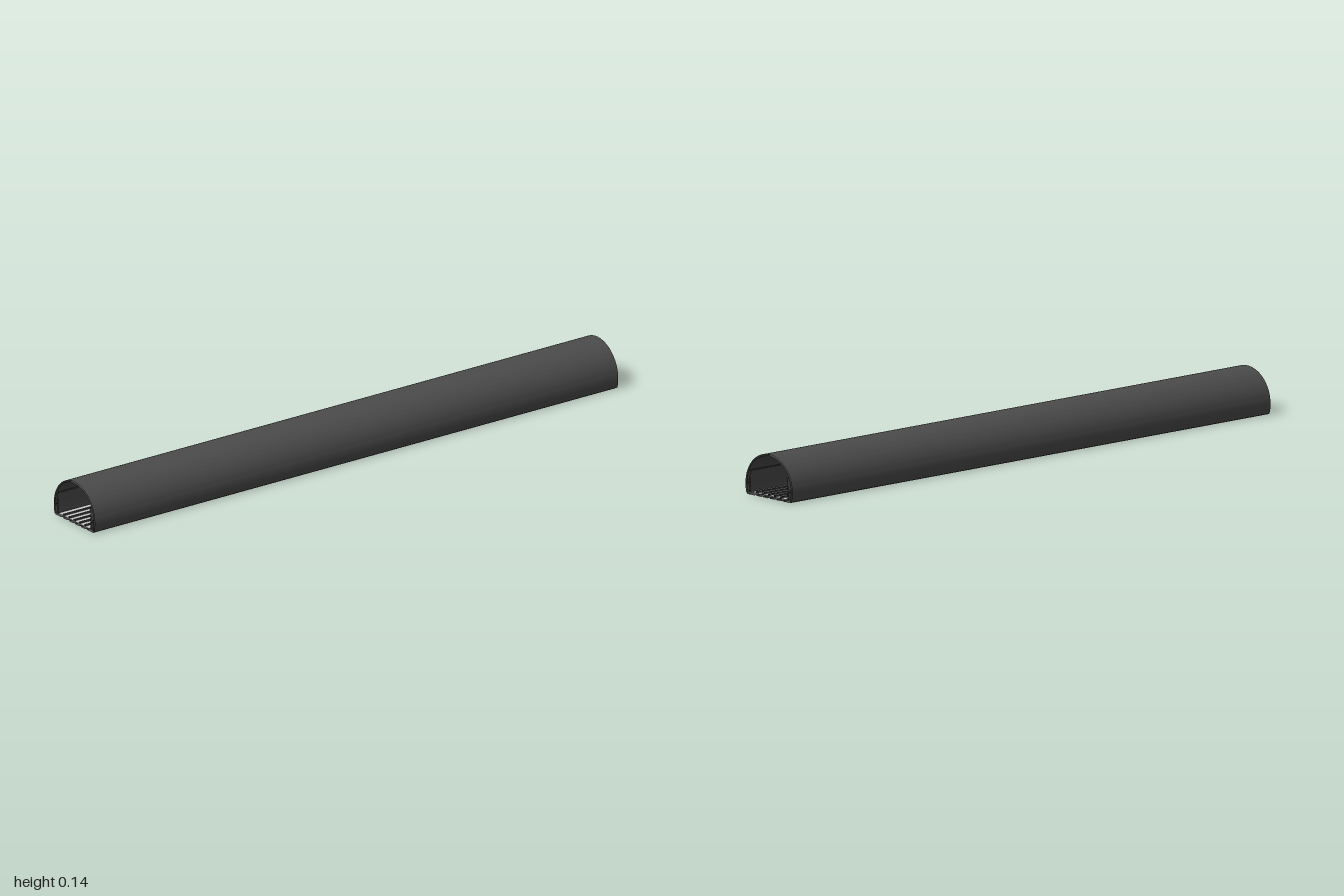
import * as THREE from 'three';
import { toCreasedNormals } from 'three/addons/utils/BufferGeometryUtils.js';

const LENGTH = 2;
const dark = new THREE.MeshStandardMaterial({ color: 0x4c4c4c, side: THREE.DoubleSide });
const light = new THREE.MeshStandardMaterial({ color: 0xcccccc, side: THREE.DoubleSide });

// Open-ended extrusion of a closed counter-clockwise outline along z
function extrusion(name, outline, material) {
  const pos = [];
  const h = LENGTH / 2;
  outline.forEach(([x0, y0], i) => {
    const [x1, y1] = outline[(i + 1) % outline.length];
    pos.push(x0, y0, h, x0, y0, -h, x1, y1, -h, x0, y0, h, x1, y1, -h, x1, y1, h);
  });
  const geometry = new THREE.BufferGeometry();
  geometry.setAttribute('position', new THREE.Float32BufferAttribute(pos, 3));
  const mesh = new THREE.Mesh(toCreasedNormals(geometry, 0.6), material);
  mesh.name = name;
  return mesh;
}

// Mirror an outline across x = 0, keeping its winding
const mirror = (outline) => outline.map(([x, y]) => [-x, y]).reverse();

// Arc points around the centre of the cover
const CENTRE_Y = 0.033;
function arc(radius, from, to, steps = 48) {
  return Array.from({ length: steps + 1 }, (_, i) => {
    const a = from + (to - from) * i / steps;
    return [radius * Math.cos(a), CENTRE_Y + radius * Math.sin(a)];
  });
}

export function createModel() {
  const model = new THREE.Group();
  model.name = 'roundedChannel';

  // Arched cover, a thin shell a little more than half a circle
  const start = -0.29;
  const end = Math.PI - start;
  model.add(extrusion('cover', [...arc(0.105, start, end), ...arc(0.0995, end, start)], dark));

  // Base plate: shallow grooves below, raised ribs above
  const grooves = [-0.06, -0.03, 0, 0.03, 0.06];
  const bottom = [[-0.1, 0.004], [-0.096, 0]];
  grooves.forEach((x) => bottom.push(
    [x - 0.005, 0], [x - 0.004, 0.002], [x + 0.004, 0.002], [x + 0.005, 0]));
  bottom.push([0.096, 0], [0.1, 0.004]);
  const ribs = [0.054, 0.027, 0, -0.027, -0.054];
  const top = [[0.1, 0.008]];
  ribs.forEach((x) => top.push(
    [x + 0.003, 0.008], [x + 0.003, 0.014], [x - 0.003, 0.014], [x - 0.003, 0.008]));
  top.push([-0.1, 0.008]);
  model.add(extrusion('basePlate', [...bottom, ...top], dark));

  // Light floor strips between the ribs
  const edges = [-0.081, -0.054, -0.027, 0, 0.027, 0.054, 0.081];
  for (let i = 0; i < edges.length - 1; i++) {
    const a = edges[i] + 0.0035;
    const b = edges[i + 1] - 0.0035;
    model.add(extrusion('floorStrip', [[a, 0.0082], [b, 0.0082], [b, 0.0095], [a, 0.0095]], light));
  }

  // Upright snap walls of the base and hooked lips inside the cover
  const wall = [
    [0.083, 0.008], [0.088, 0.008], [0.088, 0.03], [0.092, 0.034], [0.088, 0.04],
    [0.084, 0.076], [0.081, 0.076], [0.083, 0.04],
  ];
  const lip = [[0.0945, 0.036], [0.1, 0.032], [0.1, 0.043], [0.0945, 0.04]];
  model.add(extrusion('snapWallLeft', wall, dark), extrusion('snapWallRight', mirror(wall), dark));
  model.add(extrusion('coverLipLeft', lip, dark), extrusion('coverLipRight', mirror(lip), dark));

  // Fine beads along the snap walls and the lips
  for (const side of [-1, 1]) {
    for (const [x, y, r] of [[0.082, 0.076, 0.0022], [0.095, 0.038, 0.0008]]) {
      const bead = new THREE.Mesh(new THREE.CylinderGeometry(r, r, LENGTH, 10), dark);
      bead.name = 'bead';
      bead.rotation.x = Math.PI / 2;
      bead.position.set(side * x, y, 0);
      model.add(bead);
    }
  }
  return model;
}
